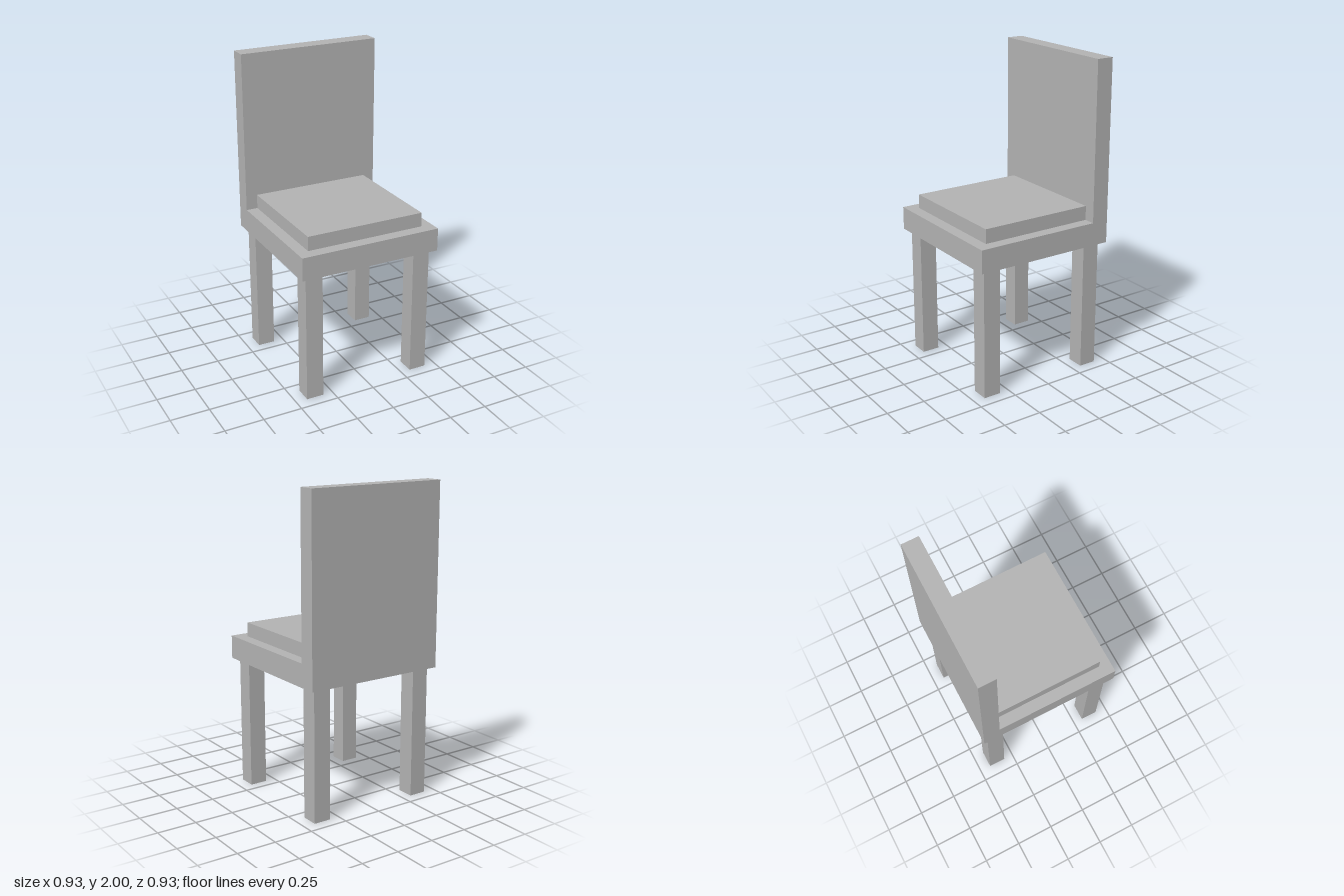
import * as THREE from 'three';

export function createModel() {
  const model = new THREE.Group();
  model.name = 'chair';

  const grey = new THREE.MeshStandardMaterial({ color: 0xb2b2b2 });
  grey.name = 'grey';

  // Box given by its lower and upper corners
  function addBox(name, [x0, y0, z0], [x1, y1, z1]) {
    const mesh = new THREE.Mesh(new THREE.BoxGeometry(x1 - x0, y1 - y0, z1 - z0), grey);
    mesh.position.set((x0 + x1) / 2, (y0 + y1) / 2, (z0 + z1) / 2);
    mesh.name = name;
    model.add(mesh);
  }

  const half = 0.463;      // half the seat's width and depth
  const backFront = -0.353; // front face of the backrest
  const seatBottom = 0.837;
  const seatTop = 0.985;

  // Backrest, flush with the rear and underside of the seat
  addBox('backrest', [-half, seatBottom, -half], [half, 2, backFront]);

  // Seat slab and the cushion on it
  addBox('seat', [-half, seatBottom, backFront], [half, seatTop, half]);
  addBox('cushion', [-0.389, seatTop, backFront], [0.389, 1.076, 0.387]);

  // Four square legs, set in from the edges
  const legHalf = 0.056;
  const legInset = 0.37;
  for (const [side, sx] of [['left', 1], ['right', -1]]) {
    for (const [end, sz] of [['Front', 1], ['Back', -1]]) {
      const x = sx * legInset, z = sz * legInset;
      addBox(`${side}${end}Leg`, [x - legHalf, 0, z - legHalf], [x + legHalf, seatBottom, z + legHalf]);
    }
  }

  return model;
}
